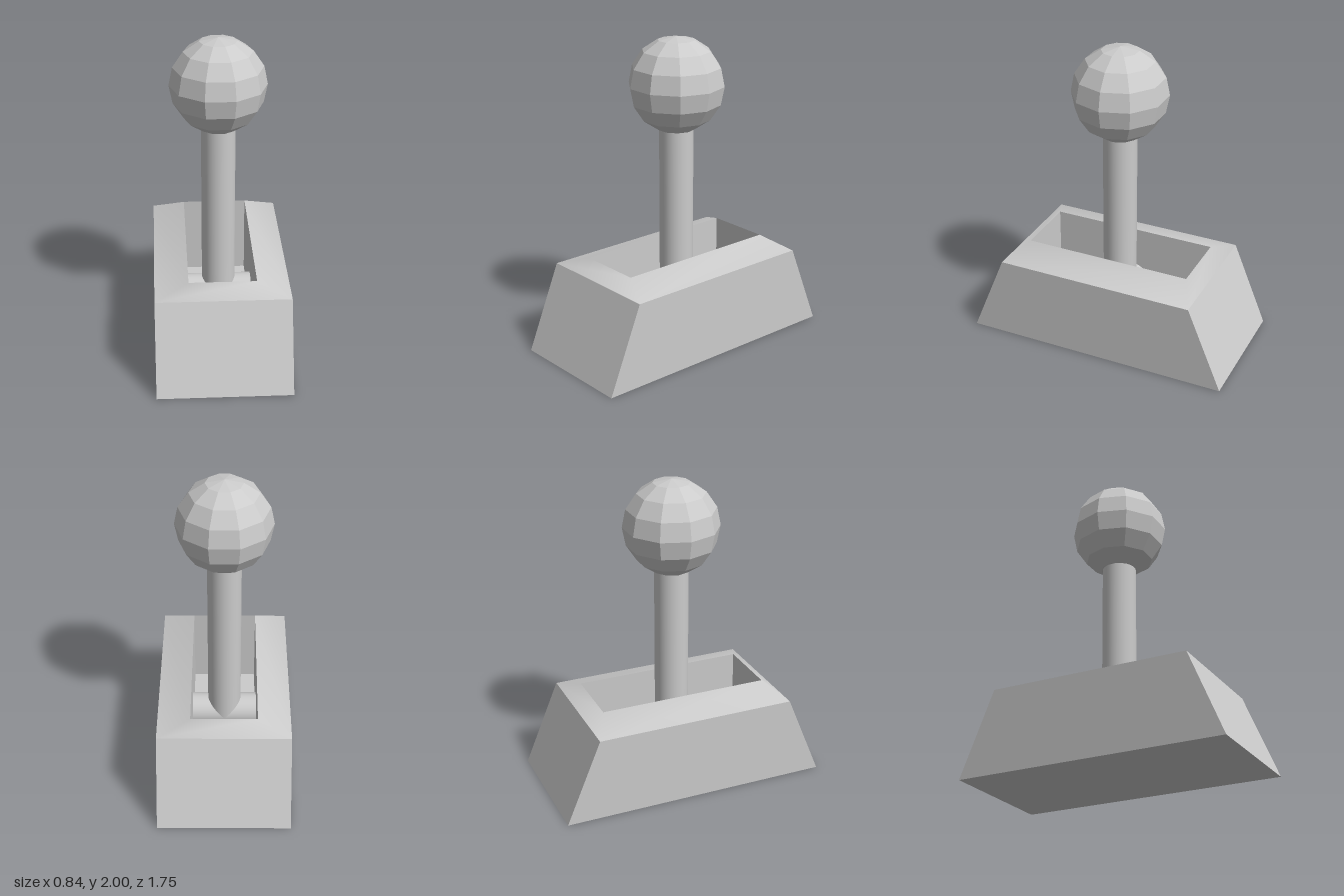
import * as THREE from 'three';

const CORNERS = [[1, 1], [1, -1], [-1, -1], [-1, 1]];

// Skins rectangular cross-sections [halfX, y, halfZ] in order; optionally caps both ends
function rectLoft(sections, { caps = false, smooth = false } = {}) {
  const positions = [];
  const index = [];
  for (const [hx, y, hz] of sections) {
    for (const [sx, sz] of CORNERS) positions.push(sx * hx, y, sz * hz);
  }
  for (let s = 0; s < sections.length - 1; s++) {
    for (let i = 0; i < 4; i++) {
      const j = (i + 1) % 4;
      const a = s * 4 + i, b = s * 4 + j, c = b + 4, d = a + 4;
      index.push(a, b, c, a, c, d);
    }
  }
  if (caps) {
    const e = (sections.length - 1) * 4;
    index.push(0, 2, 1, 0, 3, 2, e, e + 1, e + 2, e, e + 2, e + 3);
  }
  let geometry = new THREE.BufferGeometry();
  geometry.setAttribute('position', new THREE.Float32BufferAttribute(positions, 3));
  geometry.setIndex(index);
  if (!smooth) geometry = geometry.toNonIndexed();
  geometry.computeVertexNormals();
  return geometry;
}

export function createModel() {
  const group = new THREE.Group();
  const smooth = new THREE.MeshStandardMaterial({ color: 0xcccccc });
  const flat = new THREE.MeshStandardMaterial({ color: 0xcccccc, flatShading: true });

  const add = (name, geometry, material, y = 0) => {
    const mesh = new THREE.Mesh(geometry, material);
    mesh.name = name;
    mesh.position.y = y;
    group.add(mesh);
    return mesh;
  };

  // Base: sloped ends, closed underside
  const bottom = [0.42, 0, 0.875];
  const shoulder = [0.42, 0.545, 0.65];
  const lip = [0.21, 0.62, 0.55];
  const floor = [0.21, 0.1, 0.55];
  const body = rectLoft([bottom, shoulder], { caps: false });
  add('baseSides', body, flat);
  const underside = new THREE.PlaneGeometry(0.84, 1.75).rotateX(Math.PI / 2);
  add('baseUnderside', underside, flat);

  // Softly shaded rim rising to the slot
  add('baseRim', rectLoft([shoulder, lip], { smooth: true }), smooth);

  // Recessed slot: inward-facing walls and floor
  add('slotWalls', rectLoft([lip, floor]), flat);
  add('slotFloor', new THREE.PlaneGeometry(0.42, 1.1).rotateX(-Math.PI / 2), flat, floor[1]);

  // Pivot pin across the slot
  const pin = new THREE.CylinderGeometry(0.108, 0.108, 0.42, 32).rotateZ(Math.PI / 2);
  add('pivotPin', pin, smooth, 0.245);

  // Lever shaft from the pin up into the knob
  add('leverShaft', new THREE.CylinderGeometry(0.108, 0.108, 1.2, 32), smooth, 0.845);

  // Faceted ball knob
  add('knob', new THREE.SphereGeometry(0.305, 10, 8), flat, 1.695);

  return group;
}
